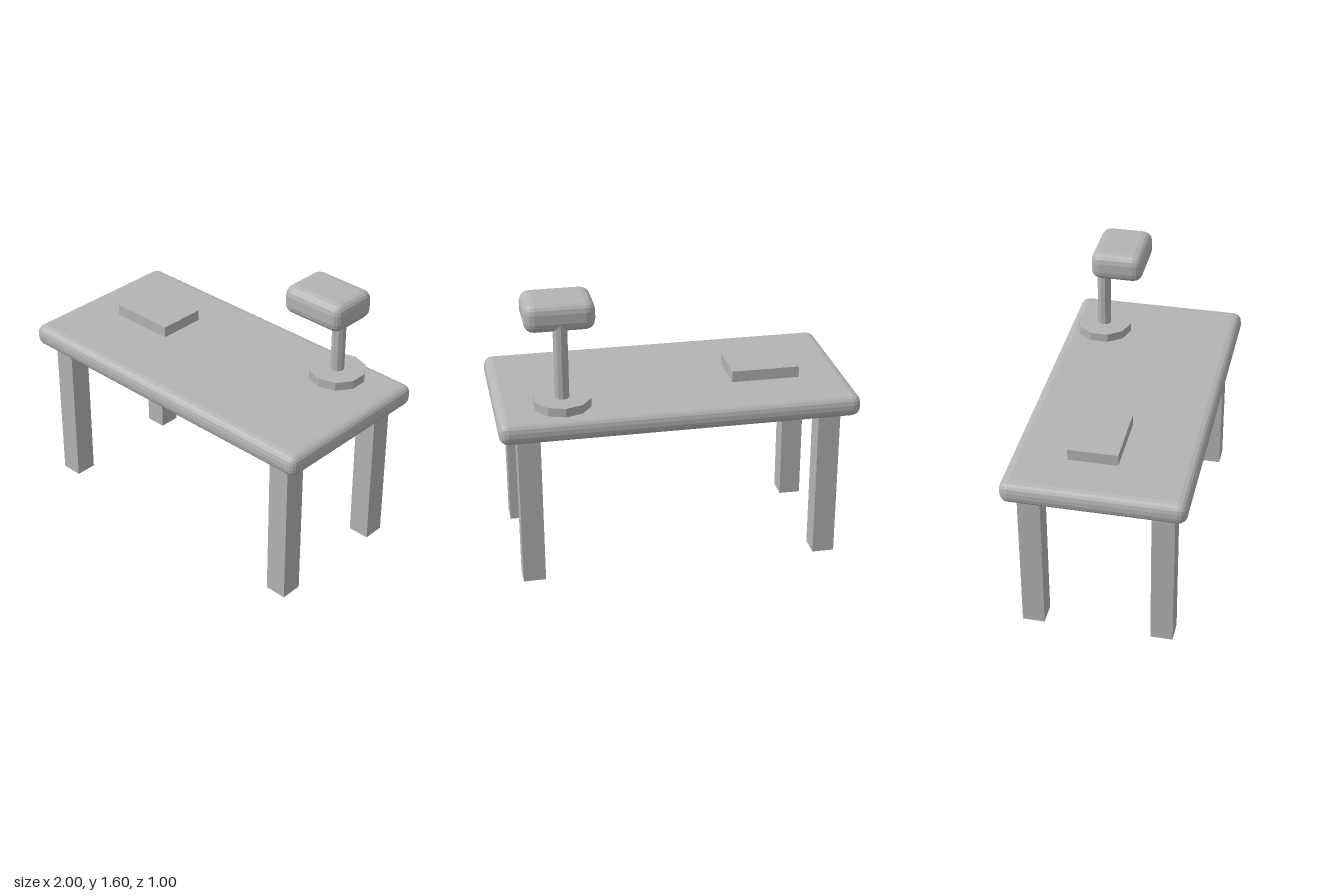
import * as THREE from 'three';
import { RoundedBoxGeometry } from 'three/addons/geometries/RoundedBoxGeometry.js';

export function createModel() {
  const model = new THREE.Group();
  model.name = 'deskWithLamp';

  const grey = new THREE.MeshStandardMaterial({ color: 0xb4b4b4 });
  grey.name = 'grey';
  grey.flatShading = true;

  const add = (name, geometry, x, y, z, parent = model) => {
    const mesh = new THREE.Mesh(geometry, grey);
    mesh.name = name;
    mesh.position.set(x, y, z);
    parent.add(mesh);
    return mesh;
  };

  // Desk: soft-edged top on four square legs
  add('tabletop', new RoundedBoxGeometry(2, 0.126, 1, 2, 0.05), 0, 0.939, 0);
  const legHeight = 0.89;
  for (const sx of [-1, 1]) {
    for (const sz of [-1, 1]) {
      const name = (sz > 0 ? 'front' : 'back') + (sx > 0 ? 'Left' : 'Right') + 'Leg';
      add(name, new THREE.BoxGeometry(0.125, legHeight, 0.125), sx * 0.838, legHeight / 2, sz * 0.363);
    }
  }

  // Book lying on the desk
  add('book', new THREE.BoxGeometry(0.385, 0.064, 0.275), -0.528, 1.042, -0.051);

  // Desk lamp: ten-sided base and post, rounded head reaching forward
  const lamp = new THREE.Group();
  lamp.name = 'lamp';
  lamp.position.set(0.635, 0, -0.285);
  model.add(lamp);
  add('lampBase', new THREE.CylinderGeometry(0.16, 0.16, 0.05, 10), 0, 1.027, 0, lamp);
  add('lampPost', new THREE.CylinderGeometry(0.04, 0.04, 0.46, 10), 0, 1.275, 0, lamp);
  add('lampHead', new RoundedBoxGeometry(0.386, 0.164, 0.3, 2, 0.055), 0, 1.516, 0.109, lamp);

  return model;
}
